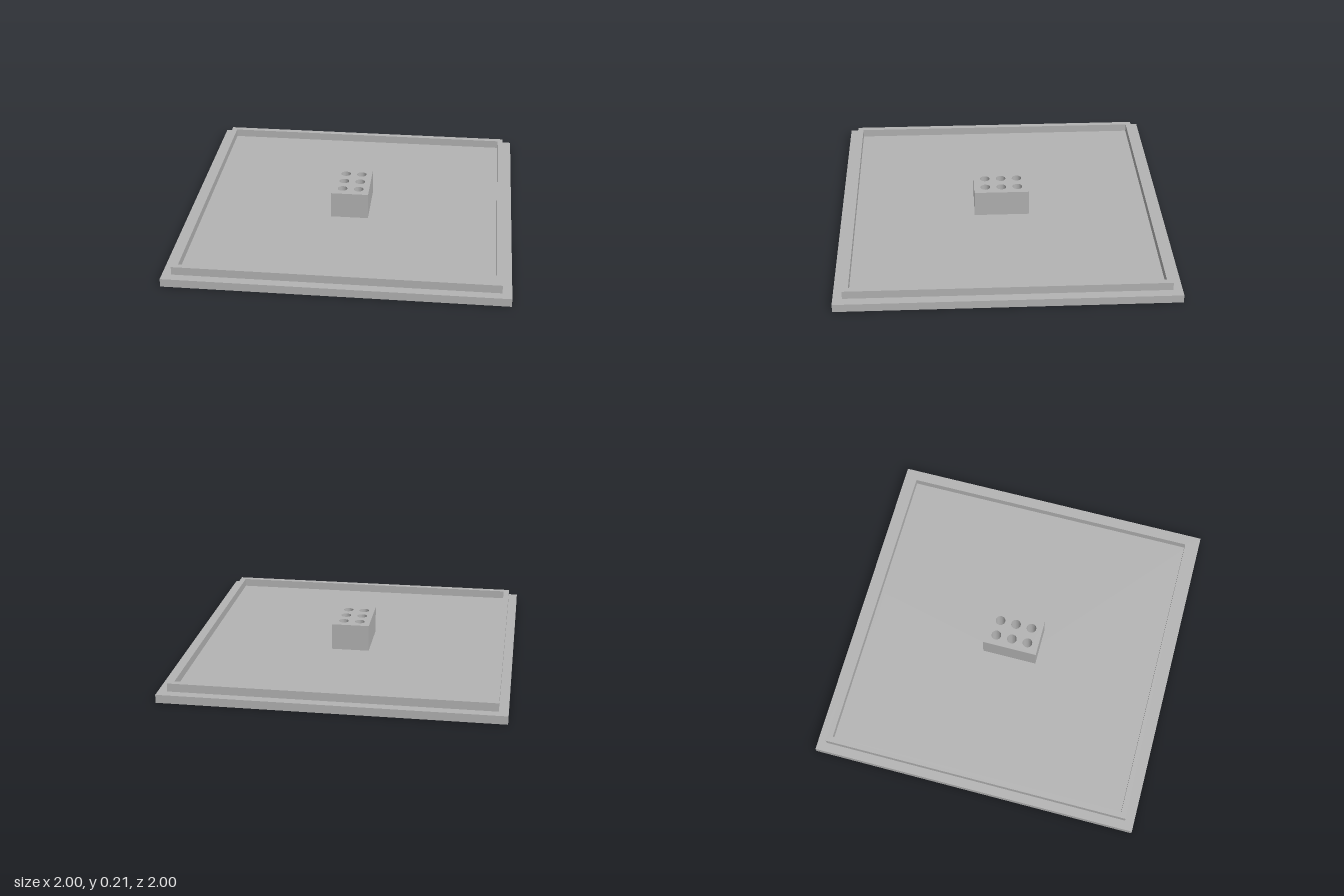
import * as THREE from 'three';

const grey = new THREE.MeshStandardMaterial({ color: 0xb3b3b3 });
grey.name = 'light grey';

// Rectangle outline centred on (cx, cz); shape y points to -z once laid flat
function rect(Type, w, d, cx = 0, cz = 0) {
  const x = w / 2, y = d / 2, p = new Type();
  p.moveTo(cx - x, -cz - y).lineTo(cx + x, -cz - y);
  p.lineTo(cx + x, -cz + y).lineTo(cx - x, -cz + y).closePath();
  return p;
}

// 2 x 3 grid of round through holes
function roundHoles() {
  const holes = [];
  for (const x of [-0.05, 0.05])
    for (const z of [-0.1, 0, 0.1])
      holes.push(new THREE.Path().absarc(x, -z, 0.03, 0, Math.PI * 2, true));
  return holes;
}

// Upright slab from a flat outline, from y0 to y1
function slab(name, shape, holes, y0, y1) {
  shape.holes.push(...holes);
  const geo = new THREE.ExtrudeGeometry(shape, { depth: y1 - y0, bevelEnabled: false, curveSegments: 24 });
  geo.rotateX(-Math.PI / 2).translate(0, y0, 0);
  const mesh = new THREE.Mesh(geo, grey);
  mesh.name = name;
  return mesh;
}

export function createModel() {
  const model = new THREE.Group();
  model.name = 'lid';

  // Base plate, open at the round holes and at the pry slot
  const slot = [0.2, 0.05, 0, -0.915];
  model.add(slab('basePlate', rect(THREE.Shape, 2, 2), [...roundHoles(), rect(THREE.Path, ...slot)], 0, 0.05));

  // Ceiling of the slot, which opens only underneath
  model.add(slab('slotCeiling', rect(THREE.Shape, ...slot), [], 0.03, 0.05));

  // Raised lip set in from the edge
  model.add(slab('lip', rect(THREE.Shape, 1.89, 1.89), [rect(THREE.Path, 1.82, 1.82)], 0.05, 0.1));

  // Central block with the holes running through
  model.add(slab('holeBlock', rect(THREE.Shape, 0.23, 0.34), roundHoles(), 0.05, 0.213));

  return model;
}
